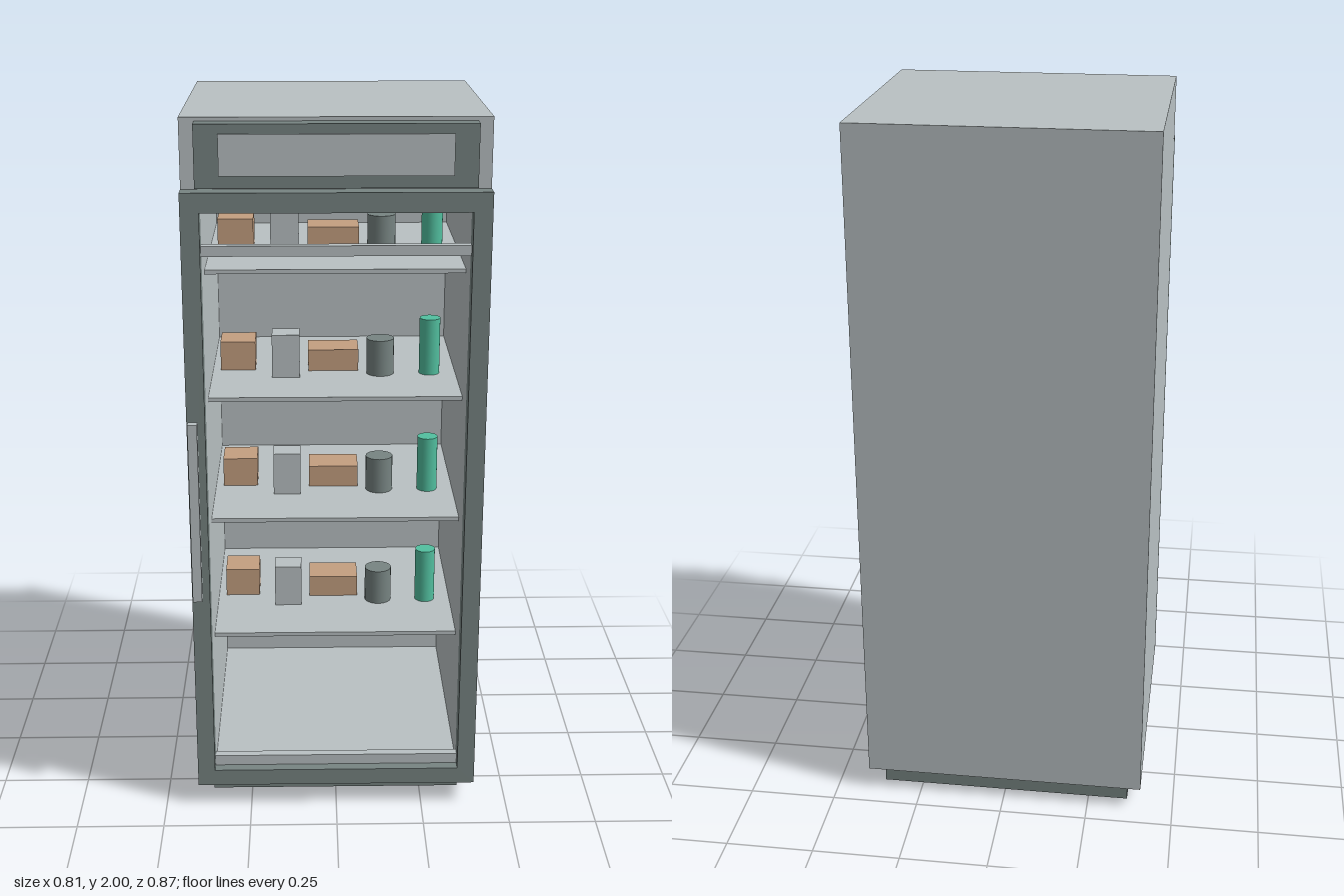
import * as THREE from 'three';

const mat = (name, color) => {
  const m = new THREE.MeshStandardMaterial({ color });
  m.name = name;
  return m;
};

export function createModel() {
  const group = new THREE.Group();
  group.name = 'displayFridge';
  const steel = mat('light steel', 0xb9c1c3);
  const trim = mat('dark grey trim', 0x778482);
  const card = mat('cardboard', 0xc49f80);
  const green = mat('green bottle', 0x52bf9f);

  const add = (parent, name, geometry, material) => {
    const mesh = new THREE.Mesh(geometry, material);
    mesh.name = name;
    parent.add(mesh);
    return mesh;
  };

  // box given by its limits on each axis
  const box = (parent, name, material, [x0, x1], [y0, y1], [z0, z1]) => {
    const mesh = add(parent, name, new THREE.BoxGeometry(x1 - x0, y1 - y0, z1 - z0), material);
    mesh.position.set((x0 + x1) / 2, (y0 + y1) / 2, (z0 + z1) / 2);
    return mesh;
  };

  const cylinder = (parent, name, material, x, y, z, r, h) => {
    const mesh = add(parent, name, new THREE.CylinderGeometry(r, r, h, 24), material);
    mesh.position.set(x, y + h / 2, z);
  };

  // rectangular frame with a rectangular opening, extruded along z
  const rect = (path, hw, y0, y1) => {
    path.moveTo(-hw, y0);
    path.lineTo(hw, y0);
    path.lineTo(hw, y1);
    path.lineTo(-hw, y1);
    path.closePath();
    return path;
  };
  const frame = (name, material, outer, inner, z0, z1) => {
    const shape = rect(new THREE.Shape(), ...outer);
    shape.holes.push(rect(new THREE.Path(), ...inner));
    const geometry = new THREE.ExtrudeGeometry(shape, { depth: z1 - z0, bevelEnabled: false });
    add(group, name, geometry, material).position.z = z0;
  };

  // cabinet: plinth, hollow shell and back wall
  box(group, 'plinth', trim, [-0.365, 0.365], [0, 0.066], [-0.39, 0.3]);
  frame('cabinetShell', steel, [0.405, 0.066, 2], [0.355, 0.112, 1.78], -0.387, 0.335);
  box(group, 'backWall', steel, [-0.405, 0.405], [0.066, 2], [-0.433, -0.387]);

  // door frame with its rails and handle
  frame('doorFrame', trim, [0.405, 0.066, 1.815], [0.355, 0.115, 1.762], 0.335, 0.39);
  box(group, 'upperRail', steel, [-0.355, 0.355], [1.642, 1.67], [0.335, 0.36]);
  box(group, 'lowerRail', steel, [-0.355, 0.355], [0.115, 0.146], [0.335, 0.36]);
  box(group, 'handle', steel, [-0.4, -0.374], [0.68, 1.2], [0.406, 0.433]);

  // header panel above the door
  box(group, 'header', trim, [-0.365, 0.365], [1.826, 1.99], [0.335, 0.388]);
  box(group, 'headerPlate', steel, [-0.302, 0.302], [1.858, 1.965], [0.388, 0.394]);

  // four shelves with the same goods on each
  for (let i = 0; i < 4; i++) {
    const shelf = new THREE.Group();
    shelf.name = 'stockedShelf' + (i + 1);
    shelf.position.y = 0.482 + i * 0.3647;
    group.add(shelf);
    box(shelf, 'shelf', steel, [-0.355, 0.355], [-0.012, 0], [-0.387, 0.231]);
    box(shelf, 'tallCarton', card, [-0.332, -0.23], [0, 0.086], [-0.135, -0.03]);
    box(shelf, 'milkCarton', steel, [-0.18, -0.1], [0, 0.127], [-0.03, 0.044]);
    box(shelf, 'flatCarton', card, [-0.075, 0.072], [0, 0.064], [-0.125, -0.02]);
    cylinder(shelf, 'can', trim, 0.135, 0, 0, 0.04, 0.106);
    cylinder(shelf, 'bottle', green, 0.279, 0, 0, 0.03, 0.166);
  }
  return group;
}
